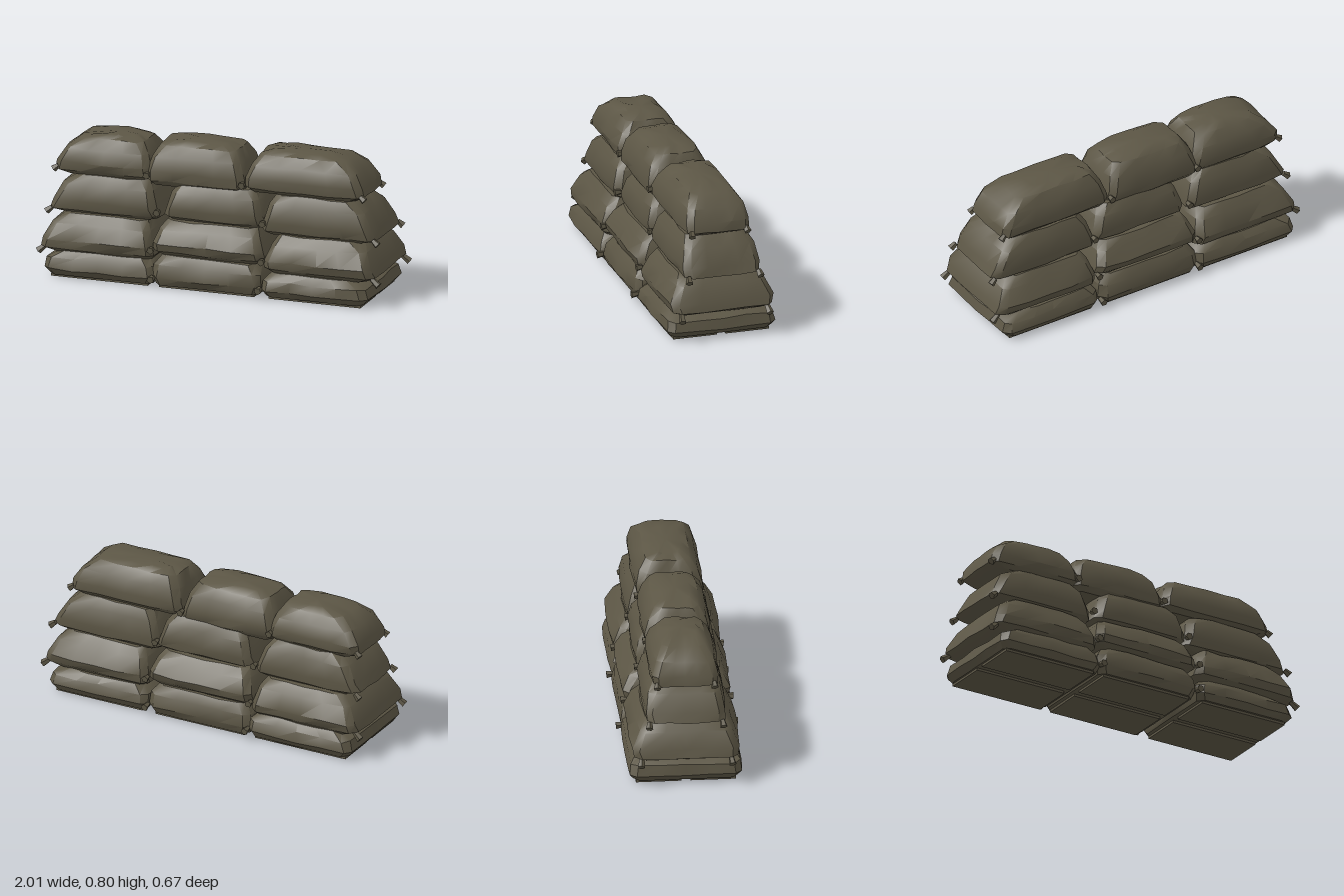
import * as THREE from 'three';
import { toCreasedNormals } from 'three/addons/utils/BufferGeometryUtils.js';

const canvas = new THREE.MeshStandardMaterial({ color: 0x5c5645 });
canvas.name = 'olive canvas';

// Small repeatable wobble in the range -1..1
const wobble = (n) => {
  const s = Math.sin(n * 127.1 + 3.7) * 43758.5453;
  return (s - Math.floor(s)) * 2 - 1;
};

// Outline of one layer: a rectangle with cut corners, counterclockwise from above
function outline(x0, x1, hz, bow) {
  const cx = (x0 + x1) / 2, hx = (x1 - x0) / 2;
  const c = Math.min(0.035, hx * 0.3, hz * 0.3);
  const along = [-1, -0.5, 0, 0.5, 1];
  const side = (u) => bow * (1 - u * u);
  return [
    ...along.map((u) => [cx + hx + side(u) * 0.5, -u * (hz - c)]),
    ...along.map((u) => [cx - u * (hx - c), -hz - side(u)]),
    ...along.map((u) => [cx - hx - side(u) * 0.5, u * (hz - c)]),
    ...along.map((u) => [cx + u * (hx - c), hz + side(u)]),
  ];
}

// A filled bag lofted upward through layers of [y, left x, right x, half depth]
function bagGeometry(layers, seed) {
  const pos = [], index = [];
  const n = 20, last = layers.length - 1;
  layers.forEach(([y, x0, x1, hz], k) => {
    const amount = k === 0 ? 0.001 : 0.005;
    outline(x0, x1, hz, k === 0 ? 0 : 0.008).forEach(([x, z], i) => {
      const w = seed * 31 + k * 7 + i * 1.3;
      pos.push(x + wobble(w) * amount, y + wobble(w + 50) * amount, z + wobble(w + 90) * amount);
    });
  });
  // Nearly flat underside and top
  const [yb, b0, b1] = layers[0], [yt, t0, t1] = layers[last];
  const low = n * layers.length, high = low + 1;
  pos.push((b0 + b1) / 2, yb, 0, (t0 + t1) / 2, yt + 0.004, 0);
  for (let i = 0; i < n; i++) {
    const j = (i + 1) % n;
    for (let k = 0; k < last; k++) {
      const a = k * n + i, b = k * n + j;
      index.push(a, b, b + n, a, b + n, a + n);
    }
    index.push(low, j, i, high, last * n + i, last * n + j);
  }
  const g = new THREE.BufferGeometry();
  g.setAttribute('position', new THREE.Float32BufferAttribute(pos, 3));
  g.setIndex(index);
  return toCreasedNormals(g, 0.6);
}

// profile: [height fraction, end inset, half depth]; bags: [left x, right x, bottom y, top y]
const courses = [
  {
    name: 'bottomCourse',
    profile: [[0, 0.02, 0.288], [0.28, 0, 0.308], [0.7, 0.01, 0.298], [1, 0.06, 0.265]],
    bags: [[-0.95, -0.305, 0.014, 0.15], [-0.32, 0.315, 0.014, 0.18], [0.32, 0.935, 0.014, 0.146]],
  },
  {
    name: 'secondCourse',
    profile: [[0, 0.04, 0.25], [0.15, 0, 0.283], [0.37, 0.01, 0.295], [0.77, 0.04, 0.255], [1, 0.08, 0.215]],
    bags: [[-0.975, -0.315, 0.135, 0.352], [-0.325, 0.325, 0.18, 0.37], [0.325, 0.97, 0.14, 0.352]],
  },
  {
    name: 'thirdCourse',
    profile: [[0, 0.035, 0.19], [0.1, 0, 0.213], [0.32, 0.015, 0.22], [0.75, 0.05, 0.2], [1, 0.1, 0.165]],
    bags: [[-0.95, -0.31, 0.352, 0.567], [-0.285, 0.31, 0.37, 0.575], [0.285, 0.955, 0.345, 0.565]],
  },
  {
    name: 'topCourse',
    profile: [
      [0, 0.035, 0.155], [0.12, 0, 0.178], [0.34, 0.008, 0.182],
      [0.66, 0.038, 0.158], [0.91, 0.09, 0.12], [1, 0.17, 0.075],
    ],
    bags: [[-0.93, -0.365, 0.56, 0.782], [-0.405, 0.175, 0.545, 0.79], [0.175, 0.87, 0.565, 0.792]],
  },
];

// Tied corners at the joints and the wall ends: [left x, right x, y, z, length]
const ties = [
  { joints: [-0.31, 0.315, 0.057, 0.29, 0.045] },
  { joints: [-0.32, 0.325, 0.215, 0.275, 0.035], ends: [-0.95, 0.95, 0.165, 0.245, 0.055] },
  { joints: [-0.31, 0.305, 0.41, 0.2, 0.035], ends: [-0.93, 0.94, 0.372, 0.2, 0.04] },
  { joints: [-0.385, 0.17, 0.605, 0.16, 0.035], ends: [-0.91, 0.85, 0.6, 0.155, 0.035] },
];

// Gathered cloth tuft that widens away from the bag
function tuft(x, y, z, direction, length) {
  const g = new THREE.CylinderGeometry(0.021, 0.014, length, 5);
  g.translate(0, length / 2, 0);
  const mesh = new THREE.Mesh(toCreasedNormals(g, 0.4), canvas);
  mesh.name = 'tiedCorner';
  mesh.position.set(x, y, z);
  mesh.quaternion.setFromUnitVectors(new THREE.Vector3(0, 1, 0), direction.normalize());
  return mesh;
}

// Tufts on both faces of the wall; end tufts droop outward, joint tufts stick straight out
function addTufts(course, [left, right, y, z, length], atEnds) {
  for (const sx of [-1, 1]) {
    for (const sz of [-1, 1]) {
      const direction = atEnds ? new THREE.Vector3(sx, -0.8, sz * 0.15) : new THREE.Vector3(0, -0.1, sz);
      course.add(tuft(sx < 0 ? left : right, y, z * sz, direction, length));
    }
  }
}

export function createModel() {
  const wall = new THREE.Group();
  wall.name = 'sandbagWall';
  courses.forEach(({ name, profile, bags }, row) => {
    const course = new THREE.Group();
    course.name = name;
    bags.forEach(([x0, x1, y0, y1], i) => {
      // The free ends of the wall slope more than the ends that meet a neighbour
      const leftSlope = i === 0 ? 1.5 : 0.8, rightSlope = i === 2 ? 1.5 : 0.8;
      const layers = profile.map(([t, inset, depth]) => [
        y0 + t * (y1 - y0), x0 + inset * leftSlope, x1 - inset * rightSlope, depth,
      ]);
      const bag = new THREE.Mesh(bagGeometry(layers, row * 3 + i + 1), canvas);
      bag.name = 'sandbag';
      course.add(bag);
      // Two flat pads pressed against the ground, with a fold between them
      if (row === 0) {
        for (const s of [-1, 1]) {
          const pad = new THREE.Mesh(new THREE.BoxGeometry(x1 - x0 - 0.08, 0.016, 0.25), canvas);
          pad.name = 'flattenedUnderside';
          pad.position.set((x0 + x1) / 2, 0.008, s * 0.15);
          course.add(pad);
        }
      }
    });
    addTufts(course, ties[row].joints, false);
    if (ties[row].ends) addTufts(course, ties[row].ends, true);
    wall.add(course);
  });
  return wall;
}
